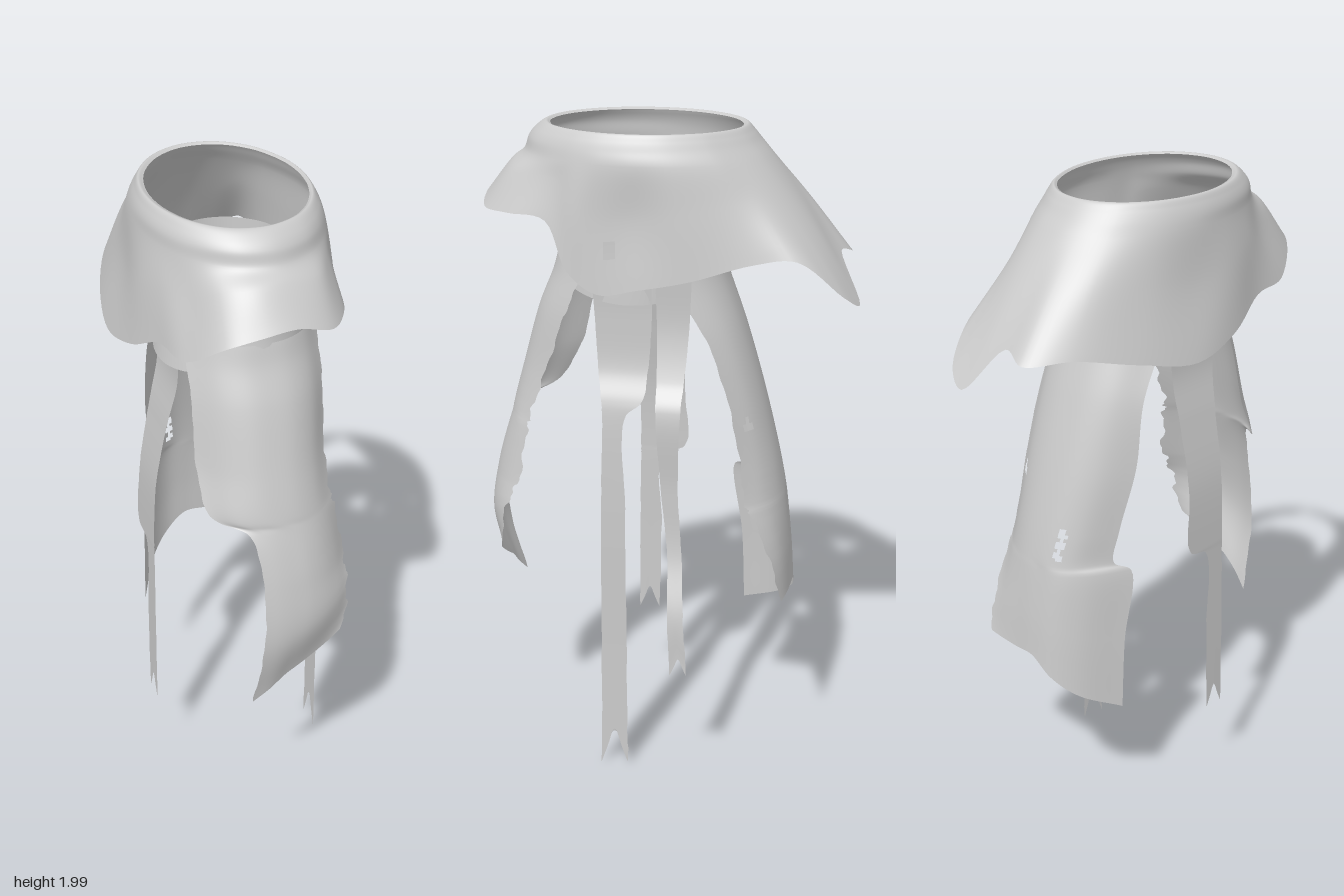
import * as THREE from 'three';

const material = new THREE.MeshStandardMaterial({ color: 0xcccccc, side: THREE.DoubleSide });
const V = (x, y, z) => new THREE.Vector3(x, y, z);
const wobble = (t, seed) => 0.5 + 0.3 * Math.sin(t * 61 + seed) + 0.2 * Math.sin(t * 143 + seed * 2.3);

// Smooth cloth through rows of points. ragged = [start, end] frays the row ends,
// holes = [x, y, z, radius] leave out the quads around a point.
function cloth(name, rows, { closed = false, nu = 24, nv = 40, ragged = [0, 0], holes = [] } = {}) {
  const across = rows.map(r => new THREE.CatmullRomCurve3(r, closed));
  const cols = closed ? nu : nu + 1;
  // One lengthwise curve per sample position
  const lengthwise = new Map();
  const at = (u, v) => {
    if (!lengthwise.has(u)) lengthwise.set(u, new THREE.CatmullRomCurve3(across.map(c => c.getPoint(u))));
    return lengthwise.get(u).getPoint(v);
  };
  const verts = [];
  for (let j = 0; j <= nv; j++) {
    const v = j / nv;
    const a = ragged[0] * wobble(v, 1) * v, b = 1 - ragged[1] * wobble(v, 4) * v;
    for (let i = 0; i < cols; i++) verts.push(at(a + (b - a) * i / nu, v));
  }
  const index = [];
  for (let j = 0; j < nv; j++) for (let i = 0; i < nu; i++) {
    const k = (i + 1) % cols;
    const a = j * cols + i, b = j * cols + k, c = a + cols, d = b + cols;
    const mid = verts[a].clone().add(verts[d]).multiplyScalar(0.5);
    if (holes.some(h => mid.distanceTo(V(h[0], h[1], h[2])) < h[3])) continue;
    index.push(a, c, b, b, c, d);
  }
  const geometry = new THREE.BufferGeometry().setFromPoints(verts);
  geometry.setIndex(index);
  geometry.computeVertexNormals();
  const mesh = new THREE.Mesh(geometry, material);
  mesh.name = name;
  return mesh;
}

// Hem of the cape, from the front round by +x
const hem = [
  [0, 1.78, .56], [.11, 1.75, .54], [.18, 1.75, .45], [.215, 1.74, .33], [.245, 1.6, .26],
  [.255, 1.54, .17], [.26, 1.56, .05], [.25, 1.59, -.1], [.215, 1.64, -.28], [.2, 1.65, -.4],
  [.15, 1.54, -.53], [.07, 1.5, -.57], [-.04, 1.63, -.5], [-.13, 1.61, -.525], [-.22, 1.62, -.42],
  [-.3, 1.58, -.24], [-.34, 1.54, -.04], [-.325, 1.58, .14], [-.29, 1.65, .28], [-.265, 1.66, .42],
  [-.19, 1.74, .53], [-.1, 1.77, .56]
];
const hemAngles = hem.map(([x, , z]) => Math.atan2((x + .02) / .28, (z - .06) / .5));
const oval = (y, cx, rx, cz, rz) => hemAngles.map(a => V(cx + rx * Math.sin(a), y, cz + rz * Math.cos(a)));

function cape() {
  const shoulder = oval(1.95, -.025, .253, .085, .345);
  const mid = hem.map(([x, y, z], i) => {
    const s = shoulder[i], a = hemAngles[i];
    const fold = .008 * Math.sin(i * 1.9);
    const w = .42 - .08 * Math.cos(a);
    return V(s.x * .75 + x * .25 + (.01 + fold) * Math.sin(a), s.y * .45 + y * .55 + .02,
      s.z * (1 - w) + z * w + (.01 + fold) * Math.cos(a));
  });
  return cloth('cape', [
    oval(1.99, -.022, .218, .08, .285),
    oval(1.995, -.025, .23, .08, .298),
    oval(1.975, -.025, .243, .085, .324),
    shoulder,
    oval(1.91, -.022, .262, .075, .37),
    mid,
    hem.map(p => V(...p))
  ], { closed: true, nu: 132, nv: 48, holes: [[.255, 1.67, .13, .024]] });
}

// Band below the neckline that carries the hanging panels
function innerBand() {
  return cloth('innerBand', [
    oval(1.78, 0, .203, .09, .248),
    oval(1.65, 0, .203, .09, .246),
    hemAngles.map(a => V(-.012 + .222 * Math.sin(a), 1.53 - .03 * Math.cos(2 * a + 3.1),
      .095 + .255 * Math.cos(a)))
  ], { closed: true, nu: 88, nv: 16 });
}

// Hanging panel rows: [y, left tilt, right tilt, left x, right x, middle z, left bow, right bow]
function panel(name, rows, options) {
  return cloth(name, rows.map(([y, tl, tr, xl, xr, zc, bl, br]) =>
    [0, .17, .33, .5, .67, .83, 1].map(t => {
      const x = xl + (xr - xl) * t;
      const bow = (x < 0 ? bl : br) * Math.pow(Math.abs(x) / .2, 2.5);
      return V(x, y + x * (x < 0 ? tl : tr), zc - bow);
    })), { nu: 40, nv: 80, ...options });
}

// Side strip rows: [y, x, front z, back z, notch height]
function strip(name, rows) {
  return cloth(name, rows.map(([y, x, za, zb, notch = 0]) =>
    [0, .25, .5, .75, 1].map(t =>
      V(x, y + notch * (1 - Math.abs(2 * t - 1)), za + (zb - za) * t))), { nu: 10, nv: 70, ragged: [.03, .05] });
}

export function createModel() {
  const model = new THREE.Group();
  model.name = 'tatteredCape';
  model.add(cape(), innerBand());

  model.add(panel('frontPanel', [
    [1.62, 0, 0, -.2, .2, .338, .13, .13],
    [1.56, 0, 0, -.2, .2, .355, .12, .12],
    [1.45, 0, 0, -.2, .2, .4, .12, .12],
    [1.26, 0, 0, -.205, .185, .455, .12, .13],
    [1.13, 0, 0, -.19, .19, .49, .1, .11],
    [1.09, 0, 0, -.1, .2, .5, .1, .1],
    [.93, 0, 0, -.075, .225, .545, .1, .09],
    [.75, .3, .4, -.08, .225, .563, .08, .07],
    [.58, .95, .6, -.095, .21, .52, .1, .02]
  ], { ragged: [.02, .08] }));

  model.add(panel('backPanel', [
    [1.62, 0, 0, -.2, .2, -.156, -.14, -.14],
    [1.56, 0, 0, -.2, .2, -.17, -.13, -.13],
    [1.4, 0, 0, -.2, .19, -.225, -.11, -.1],
    [1.2, 0, 0, -.2, .19, -.285, -.14, -.09],
    [1.0, 0, 0, -.175, .2, -.335, -.2, -.09],
    [.9, 0, 0, -.168, .215, -.355, -.23, -.08],
    [.87, 0, 0, -.2, .215, -.36, -.195, -.07],
    [.72, .4, 0, -.2, .215, -.378, -.185, -.03],
    [.585, .9, .03, -.2, .215, -.388, -.185, -.01]
  ], {
    ragged: [0, .04],
    holes: [[-.072, 1.0, -.33, .02], [-.068, .965, -.34, .02], [-.064, .93, -.345, .016], [.15, 1.13, -.26, .02]]
  }));

  model.add(strip('leftLongStrip', [
    [1.62, .207, .2, .02], [1.45, .2, .19, .02], [1.3, .21, .18, .03], [1.22, .245, .165, .04],
    [1.17, .255, .16, .09], [.9, .265, .165, .09], [.4, .26, .172, .09],
    [.12, .26, .175, .09], [0, .26, .178, .088, .13]
  ]));
  model.add(strip('leftShortStrip', [
    [1.62, .205, .01, -.1], [1.42, .2, .005, -.09], [1.28, .235, 0, -.082], [1.2, .28, -.005, -.08],
    [.95, .272, -.02, -.072], [.75, .28, -.04, -.085], [.57, .335, -.05, -.1], [.375, .338, -.058, -.112, .06]
  ]));
  model.add(strip('rightLongStrip', [
    [1.62, -.207, .19, 0], [1.45, -.205, .18, 0], [1.3, -.235, .165, .005], [1.1, -.27, .16, .01],
    [.89, -.28, .16, .01], [.86, -.28, .16, .085], [.6, -.283, .165, .09], [.29, -.285, .168, .098, .08]
  ]));
  return model;
}
